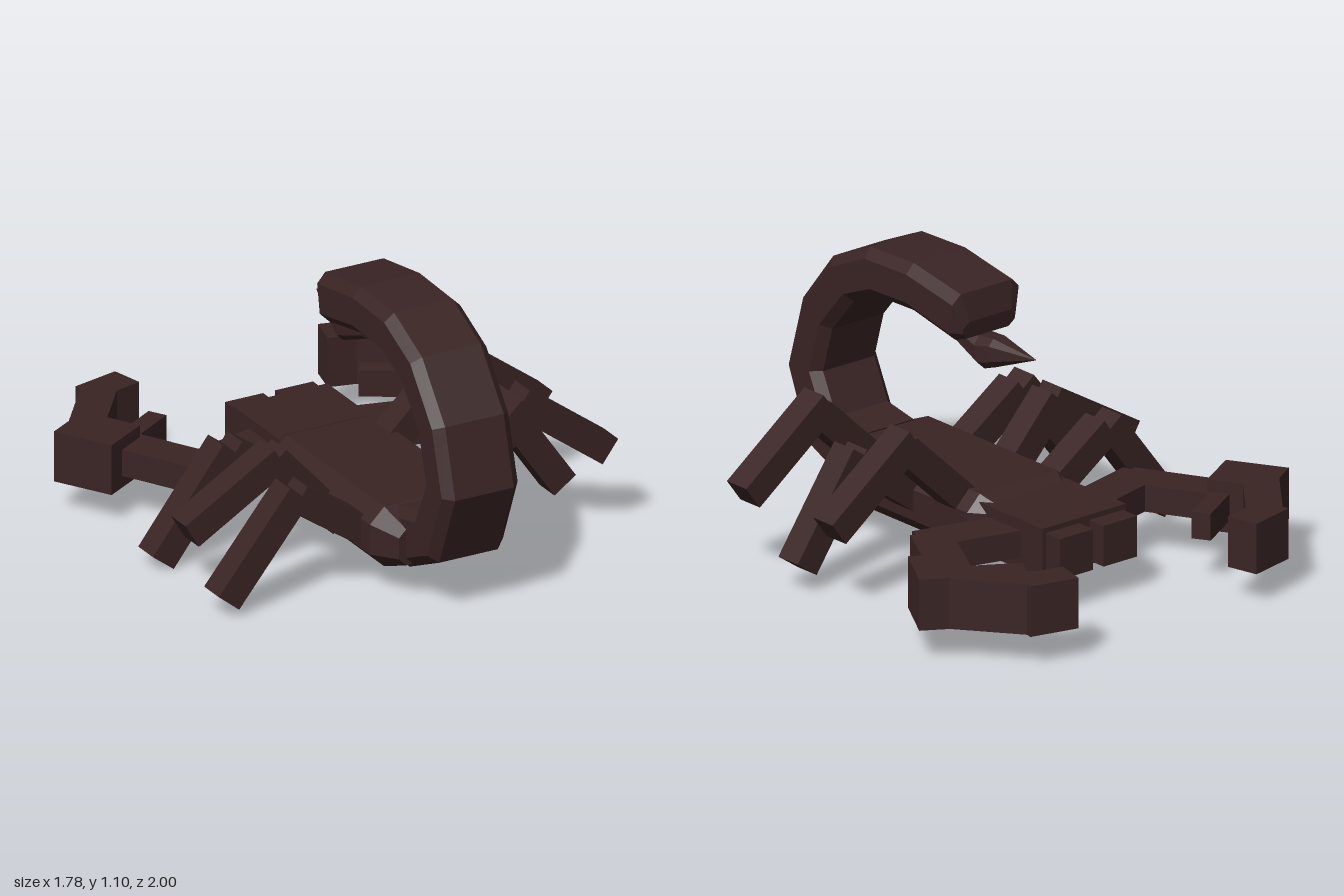
import * as THREE from 'three';

const shell = new THREE.MeshStandardMaterial({ color: 0x3a2424, flatShading: true });
shell.name = 'dark brown shell';

function add(group, name, geometry) {
  const mesh = new THREE.Mesh(geometry, shell);
  mesh.name = name;
  group.add(mesh);
  return mesh;
}

function box(group, name, w, h, d, x, y, z) {
  const mesh = add(group, name, new THREE.BoxGeometry(w, h, d));
  mesh.position.set(x, y, z);
  return mesh;
}

// Loft of chamfered sections; each is [outerZ, outerY, innerZ, innerY, halfWidth, chamfer]
function loft(sections) {
  const pos = [], index = [], n = 8;
  for (const [oz, oy, iz, iy, w, c] of sections) {
    const t = Math.min(0.45, c / (Math.hypot(iz - oz, iy - oy) || 1));
    const side = [[w - c, 0], [w, t], [w, 1 - t], [w - c, 1]];
    const ring = [...side, ...side.map(([x, s]) => [-x, s]).reverse()];
    for (const [x, s] of ring) pos.push(x, oy + (iy - oy) * s, oz + (iz - oz) * s);
  }
  const last = (sections.length - 1) * n;
  for (let i = 0; i < last; i += n) {
    for (let j = 0; j < n; j++) {
      const k = (j + 1) % n;
      index.push(i + j, i + k, i + n + k, i + j, i + n + k, i + n + j);
    }
  }
  for (let j = 1; j < n - 1; j++) {
    index.push(0, j + 1, j, last, last + j, last + j + 1);
  }
  const g = new THREE.BufferGeometry();
  g.setAttribute('position', new THREE.Float32BufferAttribute(pos, 3));
  g.setIndex(index);
  const flat = g.toNonIndexed();
  flat.computeVertexNormals();
  return flat;
}

// Box between two points of the xy plane, at a fixed z
function legBar(group, name, [x0, y0], [x1, y1], z) {
  const m = box(group, name, Math.hypot(x1 - x0, y1 - y0), 0.11, 0.11, (x0 + x1) / 2, (y0 + y1) / 2, z);
  m.rotation.z = Math.atan2(y1 - y0, x1 - x0);
}

// Level box between two points of the xz plane
function clawBar(group, name, side, [x0, z0], [x1, z1], width, height) {
  const dx = side * (x1 - x0), dz = z1 - z0;
  const m = box(group, name, Math.hypot(dx, dz), height, width, side * (x0 + x1) / 2, 0.229, (z0 + z1) / 2);
  m.rotation.y = -Math.atan2(dz, dx);
}

export function createModel() {
  const model = new THREE.Group();
  model.name = 'scorpion';

  // Body, head and mouthparts
  add(model, 'body', loft([
    [0.70, 0.30, 0.70, 0.155, 0.19, 0.03],
    [0.58, 0.35, 0.58, 0.11, 0.245, 0.06],
    [-0.15, 0.35, -0.15, 0.11, 0.245, 0.06],
    [-0.22, 0.32, -0.22, 0.15, 0.19, 0.03],
  ]));
  box(model, 'head', 0.4, 0.195, 0.38, 0, 0.228, -0.335);
  for (const s of [-1, 1]) box(model, 'mouthpart', 0.16, 0.16, 0.13, s * 0.105, 0.225, -0.54);

  // Curled tail
  add(model, 'tail', loft([
    [0.66, 0.126, 0.59, 0.35, 0.16, 0.037],
    [0.88, 0.228, 0.737, 0.378, 0.16, 0.037],
    [1.0, 0.523, 0.812, 0.534, 0.16, 0.037],
    [0.925, 0.79, 0.759, 0.716, 0.16, 0.037],
    [0.753, 1.005, 0.635, 0.861, 0.16, 0.037],
    [0.544, 1.102, 0.496, 0.92, 0.16, 0.037],
    [0.298, 1.11, 0.298, 0.925, 0.16, 0.037],
    [0.03, 1.064, 0.062, 0.877, 0.16, 0.037],
    [0.008, 0.957, 0.024, 0.887, 0.125, 0.025],
  ]));

  // Stinger bulb and spike
  add(model, 'stinger', loft([
    [0.18, 0.903, 0.169, 0.828, 0.05, 0.02],
    [0.035, 0.88, 0.003, 0.759, 0.062, 0.03],
    [-0.04, 0.887, -0.056, 0.78, 0.052, 0.025],
    [-0.25, 0.859, -0.25, 0.857, 0.002, 0.001],
  ]));

  // Pincers, mirrored
  for (const s of [-1, 1]) {
    const claw = new THREE.Group();
    claw.name = s > 0 ? 'leftPincer' : 'rightPincer';
    clawBar(claw, 'upperArm', s, [0.15, -0.325], [0.528, -0.228], 0.17, 0.105);
    clawBar(claw, 'forearm', s, [0.47, -0.21], [0.665, -0.565], 0.155, 0.105);
    clawBar(claw, 'palm', s, [0.826, -0.532], [0.646, -0.638], 0.245, 0.2);
    clawBar(claw, 'largeFinger', s, [0.765, -0.62], [0.54, -0.91], 0.135, 0.199);
    clawBar(claw, 'fingerTip', s, [0.605, -0.888], [0.412, -0.934], 0.13, 0.198);
    clawBar(claw, 'smallFinger', s, [0.7, -0.52], [0.424, -0.686], 0.075, 0.105);
    model.add(claw);
  }

  // Legs in mid-stride: hip, upper knee, lower knee, foot, z
  const legs = [
    ['leftFrontLeg', [0.15, 0.27], [0.472, 0.573], [0.434, 0.6], [0.806, 0.324], -0.032],
    ['leftMiddleLeg', [0.17, 0.22], [0.5, 0.46], [0.487, 0.49], [0.755, 0.103], 0.21],
    ['leftRearLeg', [0.15, 0.27], [0.472, 0.573], [0.434, 0.6], [0.806, 0.324], 0.457],
    ['rightFrontLeg', [-0.18, 0.19], [-0.5, 0.41], [-0.506, 0.425], [-0.8, 0.04], -0.032],
    ['rightMiddleLeg', [-0.18, 0.16], [-0.46, 0.47], [-0.44, 0.468], [-0.815, 0.245], 0.21],
    ['rightRearLeg', [-0.18, 0.2], [-0.5, 0.42], [-0.5, 0.44], [-0.8, 0.07], 0.457],
  ];
  for (const [name, hip, kneeA, kneeB, foot, z] of legs) {
    const leg = new THREE.Group();
    leg.name = name;
    legBar(leg, 'upperLeg', hip, kneeA, z);
    legBar(leg, 'lowerLeg', kneeB, foot, z);
    model.add(leg);
  }
  return model;
}
